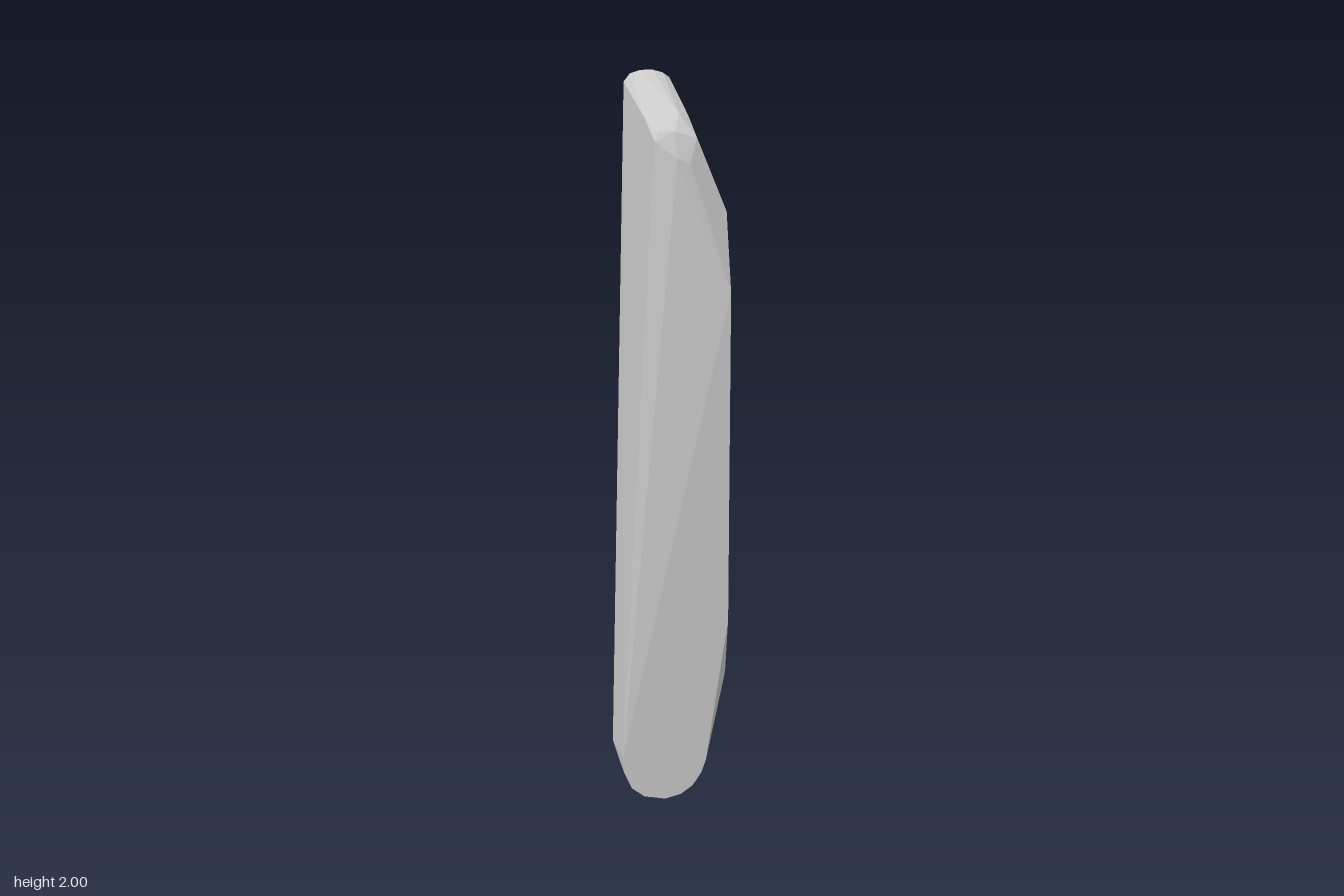
import * as THREE from 'three';
import { ConvexGeometry } from 'three/addons/geometries/ConvexGeometry.js';

// Places an [x, y] outline at a given depth
const slice = (z, outline) => outline.map(([x, y]) => new THREE.Vector3(x, y, z));

export function createModel() {
  const stone = new THREE.MeshStandardMaterial({ color: 0xcacaca });
  const group = new THREE.Group();
  group.name = 'standingSlab';

  const points = [
    // front face: rounded foot, sharp right edge up to the chamfer
    ...slice(0.183, [[-0.15, 0.13], [-0.145, 0.085], [-0.125, 0.042], [-0.09, 0.014], [-0.03, 0],
      [0.015, 0.008], [0.05, 0.03], [0.075, 0.065], [0.088, 0.1], [0.15, 0.5], [0.15, 1.4]]),
    // rounded front end of the sloping crest
    ...slice(0.155, [[0.01, 1.745], [0.045, 1.73]]),
    ...slice(0.14, [[0.15, 1.61]]),
    ...slice(0.13, [[-0.045, 1.79], [0.01, 1.815], [0.07, 1.8]]),
    ...slice(0.12, [[-0.03, 1.815]]),
    ...slice(0.065, [[0.04, 1.865]]),
    ...slice(0.03, [[-0.045, 1.855], [0.075, 1.865]]),
    // lower rim of the right side
    ...slice(0.16, [[0.15, 0.345]]),
    ...slice(0.135, [[0.15, 0.295]]),
    ...slice(0.09, [[0.15, 0.28]]),
    ...slice(0.035, [[0.15, 0.285]]),
    ...slice(0.0, [[0.15, 0.315]]),
    // rear of the rounded foot
    ...slice(0.045, [[-0.145, 0.13], [-0.125, 0.065], [-0.085, 0.025], [-0.03, 0.01], [0.03, 0.025], [0.07, 0.075]]),
    ...slice(0.0, [[-0.115, 0.11], [-0.075, 0.045], [-0.03, 0.03], [0.02, 0.04], [0.07, 0.085]]),
    ...slice(-0.02, [[-0.06, 0.065], [0.0, 0.055], [0.05, 0.09]]),
    // undercut behind the foot
    ...slice(-0.15, [[-0.055, 0.355], [0.0, 0.345], [0.06, 0.345]]),
    ...slice(-0.16, [[-0.052, 0.39], [0.07, 0.375]]),
    // back face
    ...slice(-0.185, [[0.07, 0.66], [0.15, 0.65], [0.15, 1.8], [0.085, 1.98], [0.065, 1.993], [0.035, 2],
      [0, 1.998], [-0.03, 1.988], [-0.048, 1.965]]),
  ];

  const slab = new THREE.Mesh(new ConvexGeometry(points), stone);
  slab.name = 'slab';
  group.add(slab);
  return group;
}
